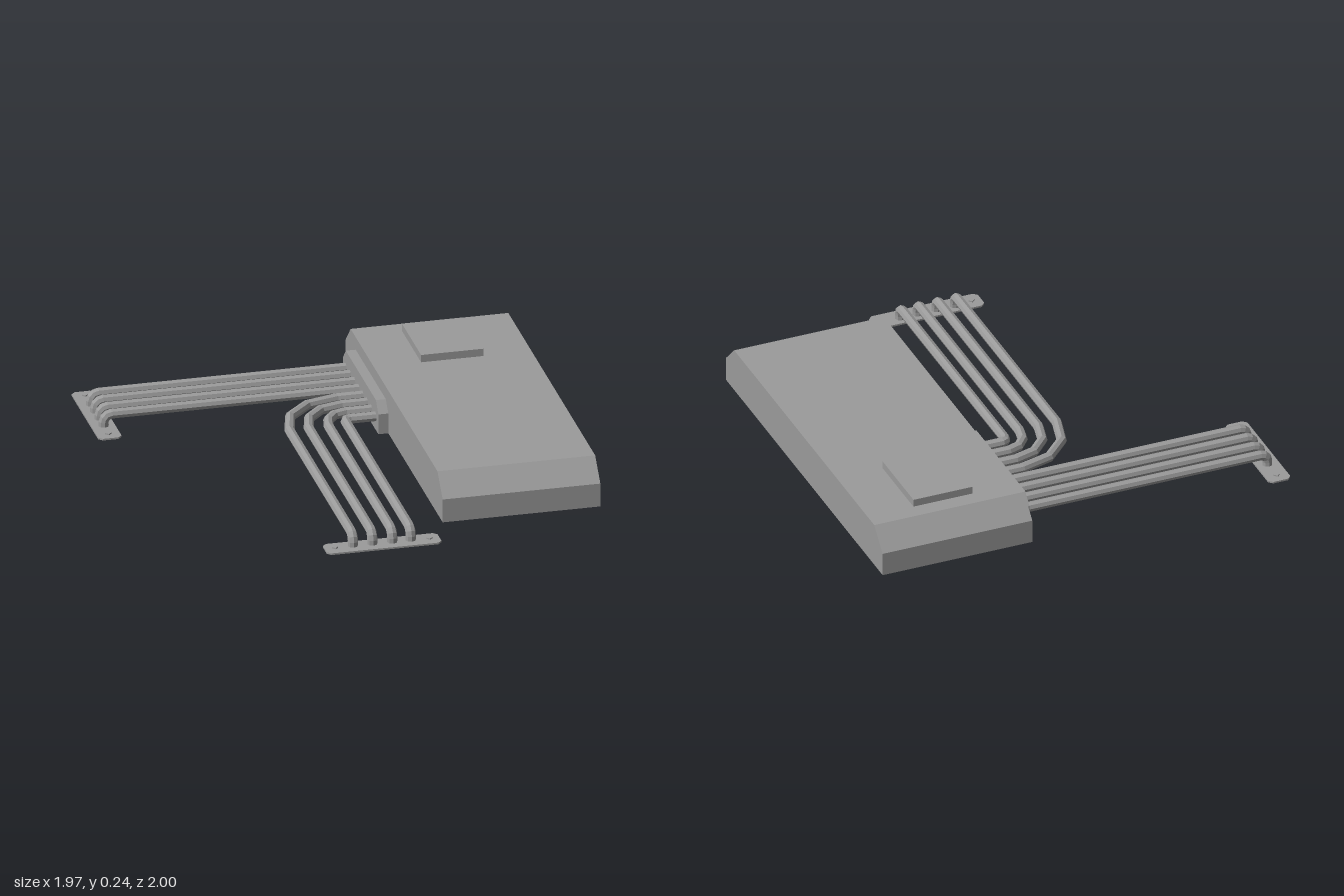
import * as THREE from 'three';
import { mergeGeometries } from 'three/addons/utils/BufferGeometryUtils.js';

const material = new THREE.MeshStandardMaterial({ color: 0x9b9b9b, flatShading: true, side: THREE.DoubleSide });

function addMesh(parent, name, geometry) {
  const mesh = new THREE.Mesh(geometry, material);
  mesh.name = name;
  parent.add(mesh);
  return mesh;
}

const outline = (points) => points.map(([a, b]) => new THREE.Vector2(a, b));

// Upright panel at x from a [z, y] profile
function wall(x, profile) {
  const shape = new THREE.Shape(outline(profile.map(([z, y]) => [-z, y])));
  return new THREE.ShapeGeometry(shape).rotateY(Math.PI / 2).translate(x, 0, 0);
}

// Surface swept along x between two profile points
function strip(x0, x1, [z0, y0], [z1, y1]) {
  const length = Math.hypot(z1 - z0, y1 - y0);
  return new THREE.PlaneGeometry(x1 - x0, length)
    .rotateX(Math.atan2(z1 - z0, y1 - y0))
    .translate((x0 + x1) / 2, (y0 + y1) / 2, (z0 + z1) / 2);
}

// Strips of a hollow cover, open underneath; segments lists the profile parts to sweep
function strips(profile, x0, x1, segments) {
  return segments.map((i) => strip(x0, x1, profile[i], profile[i + 1]));
}

// Curve with one ring per path point, each ring turned to halve its bend
class BentPath extends THREE.Curve {
  constructor(points) {
    super();
    this.points = points;
  }
  index(u) {
    return Math.round(u * (this.points.length - 1));
  }
  getPointAt(u, target = new THREE.Vector3()) {
    return target.copy(this.points[this.index(u)]);
  }
  getTangentAt(u, target = new THREE.Vector3()) {
    const p = this.points, i = this.index(u);
    target.set(0, 0, 0);
    if (i > 0) target.add(p[i].clone().sub(p[i - 1]).normalize());
    if (i < p.length - 1) target.add(p[i + 1].clone().sub(p[i]).normalize());
    return target.normalize();
  }
}

const PIPE_Y = 0.062;
const PIPE_R = 0.023;

function pipe(points) {
  return new THREE.TubeGeometry(new BentPath(points), points.length - 1, PIPE_R, 8, false);
}

// Points of the downward bend at the end of a pipe; dir is the run direction
function downBend(end, dir) {
  const r = 0.035;
  return [0, 30, 60, 90].map((deg) => {
    const a = THREE.MathUtils.degToRad(deg);
    const p = end.clone().addScaledVector(dir, r * (Math.sin(a) - 1));
    p.y = PIPE_Y - r * (1 - Math.cos(a));
    return p;
  }).concat(end.clone());
}

// Mounting plate with clipped corners and two small studs, long along x
function flange(name) {
  const group = new THREE.Group();
  group.name = name;
  const a = 0.26, b = 0.053, c = 0.018;
  const shape = new THREE.Shape(outline([
    [-a + c, -b], [a - c, -b], [a, -b + c], [a, b - c],
    [a - c, b], [-a + c, b], [-a, b - c], [-a, -b + c],
  ]));
  const plate = new THREE.ExtrudeGeometry(shape, { depth: 0.008, bevelEnabled: false });
  addMesh(group, 'flangePlate', plate.rotateX(-Math.PI / 2));
  for (const side of [-1, 1]) {
    const stud = addMesh(group, 'stud', new THREE.CylinderGeometry(0.014, 0.014, 0.014, 4));
    stud.position.set(side * (a - 0.046), 0.007, 0);
  }
  return group;
}

export function createModel() {
  const model = new THREE.Group();
  model.name = 'pipedCover';

  // Profiles as [z, y], from the front foot over the top to the back foot
  const cover = [[0.775, 0], [0.775, 0.11], [0.68, 0.205], [-0.905, 0.205], [-1, 0.11], [-1, 0]];
  const manifold = [[-0.217, 0], [-0.217, 0.095], [-0.262, 0.145], [-0.812, 0.145], [-0.86, 0.095], [-0.86, 0]];
  const hatch = [[-0.48, 0.205], [-0.48, 0.24], [-0.83, 0.24], [-0.83, 0.205]];
  const [xIn, xOut, hx0, hx1, mx] = [0.27, 0.985, 0.484, 0.766, 0.225];

  // Main cover, its top open under the hatch
  const topShape = new THREE.Shape(outline([[xIn, -0.68], [xOut, -0.68], [xOut, 0.905], [xIn, 0.905]]));
  topShape.holes.push(new THREE.Path(outline([[hx0, 0.48], [hx1, 0.48], [hx1, 0.83], [hx0, 0.83]])));
  const top = new THREE.ShapeGeometry(topShape).rotateX(-Math.PI / 2).translate(0, 0.205, 0);
  addMesh(model, 'mainCover', mergeGeometries([
    ...strips(cover, xIn, xOut, [0, 1, 3, 4]), top, wall(xIn, cover), wall(xOut, cover),
  ]));

  // Raised hatch on the top
  addMesh(model, 'hatch', mergeGeometries([
    ...strips(hatch, hx0, hx1, [0, 1, 2]), wall(hx0, hatch), wall(hx1, hatch),
  ]));

  // Manifold that the pipes enter, set against the inner wall of the cover
  addMesh(model, 'manifold', mergeGeometries([
    ...strips(manifold, mx, xIn, [0, 1, 2, 3, 4]), wall(mx, manifold),
  ]));

  // Straight pipes to the side flange
  for (const z of [-0.816, -0.738, -0.659, -0.581]) {
    addMesh(model, 'sidePipe', pipe([
      new THREE.Vector3(mx, PIPE_Y, z),
      ...downBend(new THREE.Vector3(-0.93, 0, z), new THREE.Vector3(-1, 0, 0)),
    ]));
  }

  // Pipes that turn forward round a shared centre, the innermost with a tight elbow
  for (const [x, z, rz, bends] of [
    [-0.178, -0.506, 0.29, 3], [-0.09, -0.428, 0.21, 3], [0, -0.35, 0.132, 3], [0.084, -0.274, 0.027, 2],
  ]) {
    const cx = 0.108;
    const turn = Array.from({ length: bends + 1 }, (_, i) => {
      const a = (i / bends) * Math.PI / 2;
      return new THREE.Vector3(cx - (cx - x) * Math.sin(a), PIPE_Y, z + rz * (1 - Math.cos(a)));
    });
    addMesh(model, 'frontPipe', pipe([
      new THREE.Vector3(mx, PIPE_Y, z), ...turn,
      ...downBend(new THREE.Vector3(x, 0, 0.94), new THREE.Vector3(0, 0, 1)),
    ]));
  }

  // Flanges at the pipe ends
  const front = flange('frontFlange');
  front.position.set(-0.047, 0, 0.947);
  const side = flange('sideFlange');
  side.rotation.y = Math.PI / 2;
  side.position.set(-0.932, 0, -0.703);
  model.add(front, side);

  return model;
}
